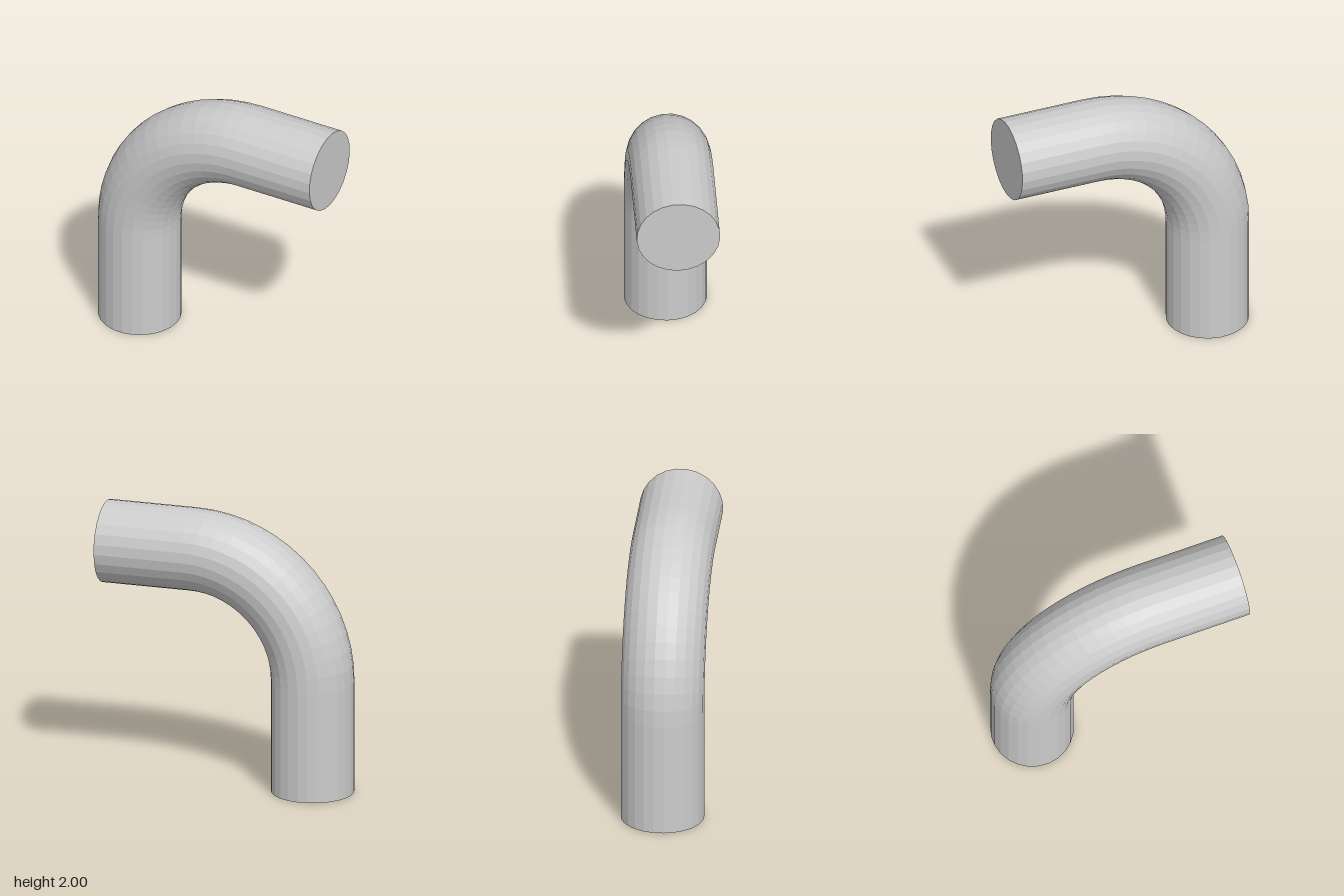
import * as THREE from 'three';

const RADIUS = 0.296;      // pipe radius
const SIDES = 25;          // facets around the pipe
const BEND_STEPS = 15;     // facets along the elbow
const BEND_RADIUS = 0.89;  // centreline radius of the elbow
const CENTRE_X = 0.27, CENTRE_Y = 0.816;
const END_X = 0.913;

export function createModel() {
  const group = new THREE.Group();
  group.name = 'elbowPipe';

  // Capped cylinder with one row per elbow step plus a straight run at each end
  const rows = BEND_STEPS + 2;
  const geometry = new THREE.CylinderGeometry(RADIUS, RADIUS, rows, SIDES, rows, false, Math.PI / 2);
  const position = geometry.attributes.position;

  // Bend every row of the cylinder around the elbow centre
  for (let i = 0; i < position.count; i++) {
    const row = Math.round(position.getY(i) + rows / 2);
    const step = THREE.MathUtils.clamp(row - 1, 0, BEND_STEPS);
    const angle = (step / BEND_STEPS) * Math.PI / 2;
    const reach = BEND_RADIUS - position.getX(i);
    let x = CENTRE_X - Math.cos(angle) * reach;
    let y = CENTRE_Y + Math.sin(angle) * reach;
    if (row === 0) y = 0;        // foot of the upright run
    if (row === rows) x = END_X; // mouth of the level run
    position.setXY(i, x, y);
  }
  geometry.computeVertexNormals();

  const pipe = new THREE.Mesh(
    geometry,
    new THREE.MeshStandardMaterial({ color: 0xcccccc, flatShading: true })
  );
  pipe.name = 'bentPipe';
  group.add(pipe);
  return group;
}
